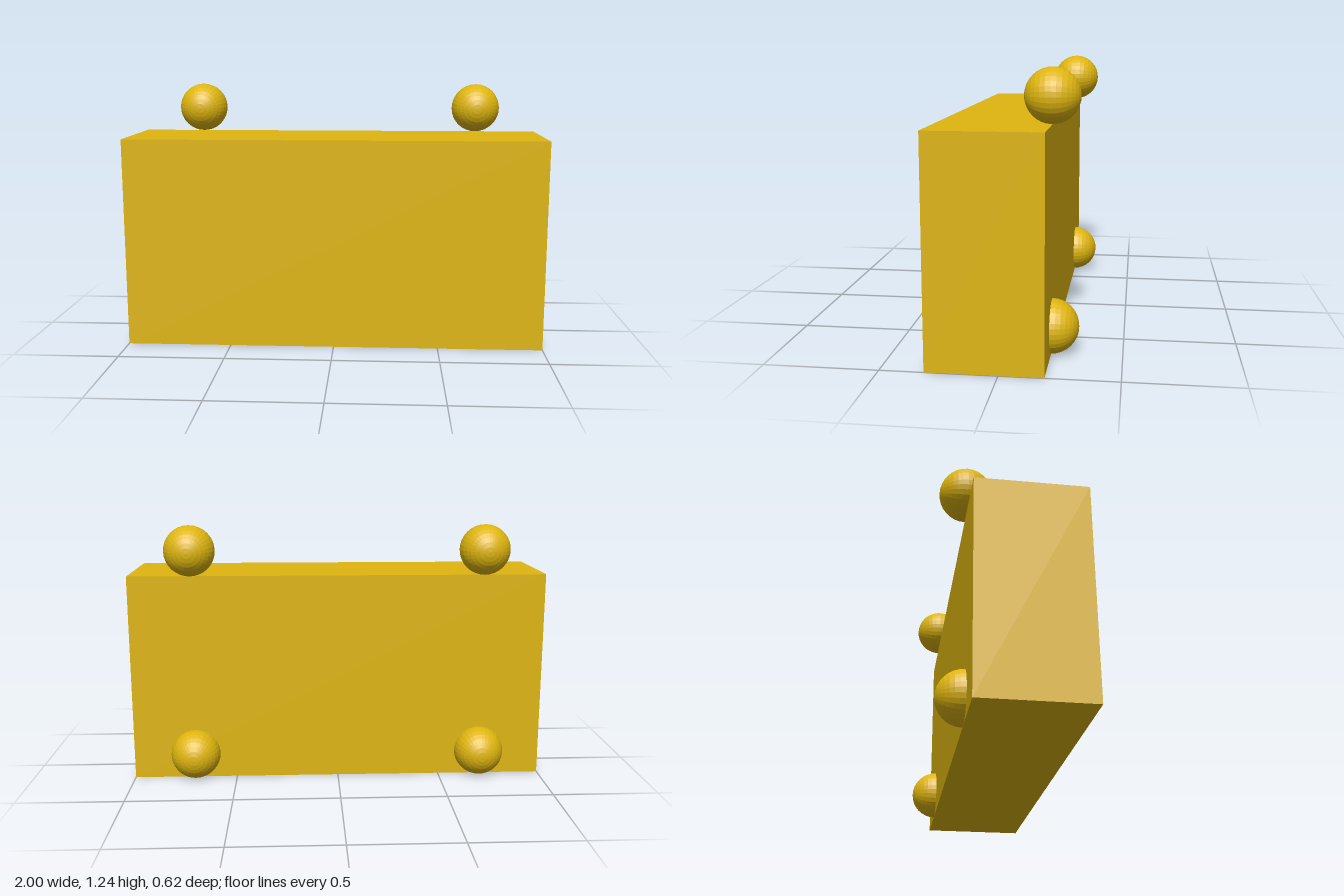
import * as THREE from 'three';

export function createModel() {
  const group = new THREE.Group();
  const material = new THREE.MeshStandardMaterial({ color: 0xdeb50f, flatShading: true });
  const backZ = -0.19;
  const radius = 0.12;

  // Main block
  const block = new THREE.Mesh(new THREE.BoxGeometry(2, 1, 0.5), material);
  block.name = 'block';
  block.position.set(0, 0.5, backZ + 0.25);
  group.add(block);

  // Four balls along the back face: two resting on top, two half sunk at the bottom
  const ballGeometry = new THREE.SphereGeometry(radius, 32, 16).rotateX(Math.PI / 2);
  for (const [level, y] of [['lower', radius], ['upper', 1 + radius]]) {
    for (const [side, x] of [['Left', 0.7], ['Right', -0.7]]) {
      const ball = new THREE.Mesh(ballGeometry, material);
      ball.name = `${level}${side}Ball`;
      ball.position.set(x, y, backZ);
      group.add(ball);
    }
  }
  return group;
}
